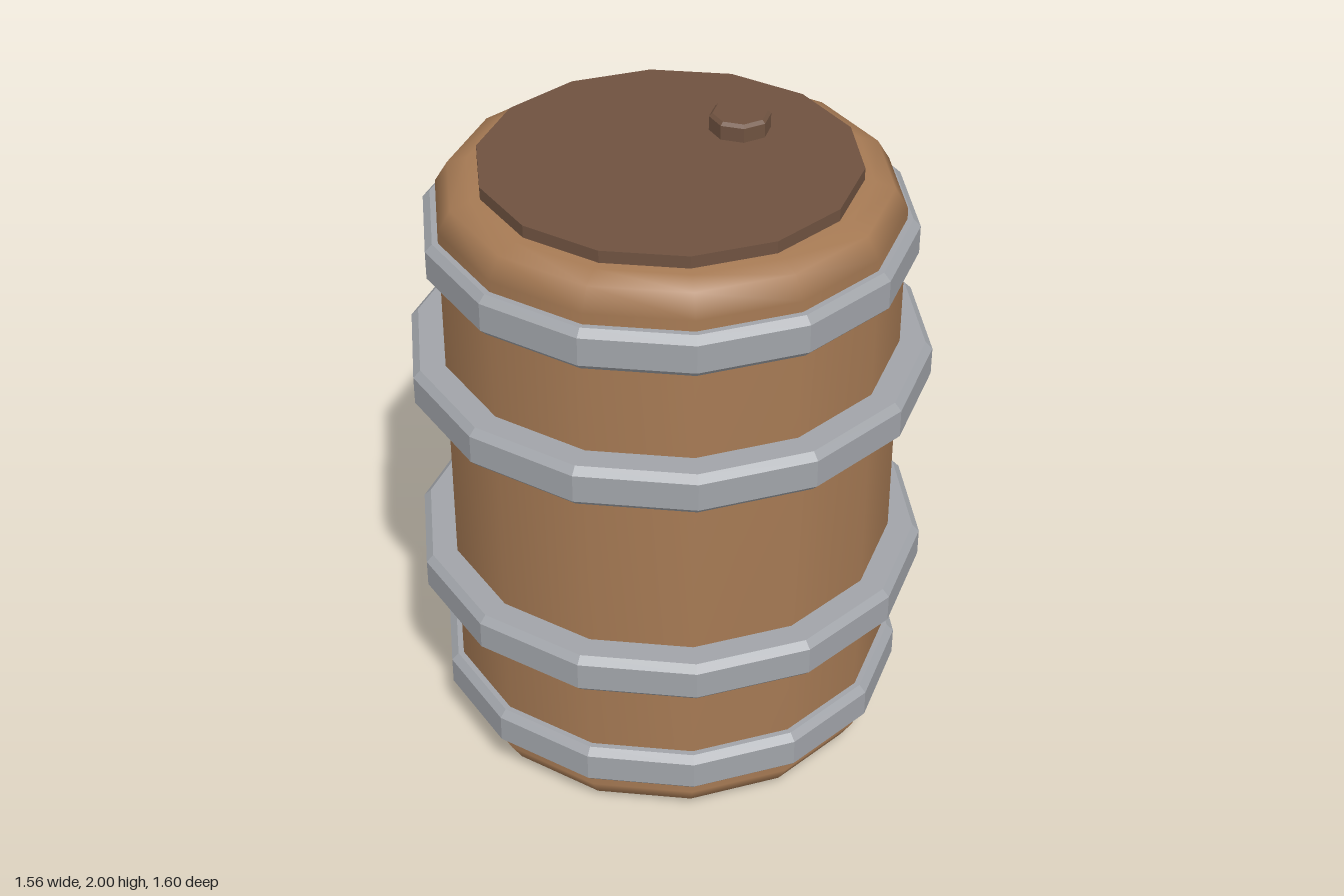
import * as THREE from 'three';

const wood = new THREE.MeshStandardMaterial({ color: 0xa67a54 });
wood.name = 'wood';
const darkWood = new THREE.MeshStandardMaterial({ color: 0x6f5240 });
darkWood.name = 'dark wood';
const metal = new THREE.MeshStandardMaterial({ color: 0xa1a4a9 });
metal.name = 'grey metal';

// Revolves an [r, y] profile, listed from bottom to top on the outside
function turned(name, profile, sides, material, faceted) {
  const points = profile.map(([r, y]) => new THREE.Vector2(r, y));
  let geometry = new THREE.LatheGeometry(points, sides);
  if (faceted) {
    geometry = geometry.toNonIndexed();
    geometry.computeVertexNormals();
  }
  const mesh = new THREE.Mesh(geometry, material);
  mesh.name = name;
  return mesh;
}

export function createModel() {
  const barrel = new THREE.Group();
  barrel.name = 'barrel';

  // Body with rounded rims
  barrel.add(turned('body', [
    [0, 0], [0.52, 0], [0.6, 0.005], [0.66, 0.025], [0.7, 0.09],
    [0.7, 1.82], [0.66, 1.885], [0.6, 1.905], [0.52, 1.91], [0, 1.91],
  ], 14, wood, false));

  // Lid disc
  barrel.add(turned('lid', [[0.57, 1.9], [0.57, 1.945], [0, 1.945]], 14, darkWood, true));

  // Chamfered hoops: [centre height, outer radius]
  const hoops = [[0.195, 0.74], [0.61, 0.8], [1.3, 0.8], [1.72, 0.74]];
  hoops.forEach(([y, r], i) => {
    const h = 0.066, c = 0.022;
    barrel.add(turned(`hoop${i + 1}`, [
      [0.685, y - h], [r - c, y - h], [r, y - h + c],
      [r, y + h - c], [r - c, y + h], [0.685, y + h], [0.685, y - h],
    ], 14, metal, true));
  });

  // Bung on the lid
  const bung = turned('bung', [
    [0.093, 1.94], [0.093, 1.99], [0.083, 2], [0, 2],
  ], 8, darkWood, true);
  bung.position.set(0.227, 0, -0.155);
  barrel.add(bung);

  return barrel;
}
